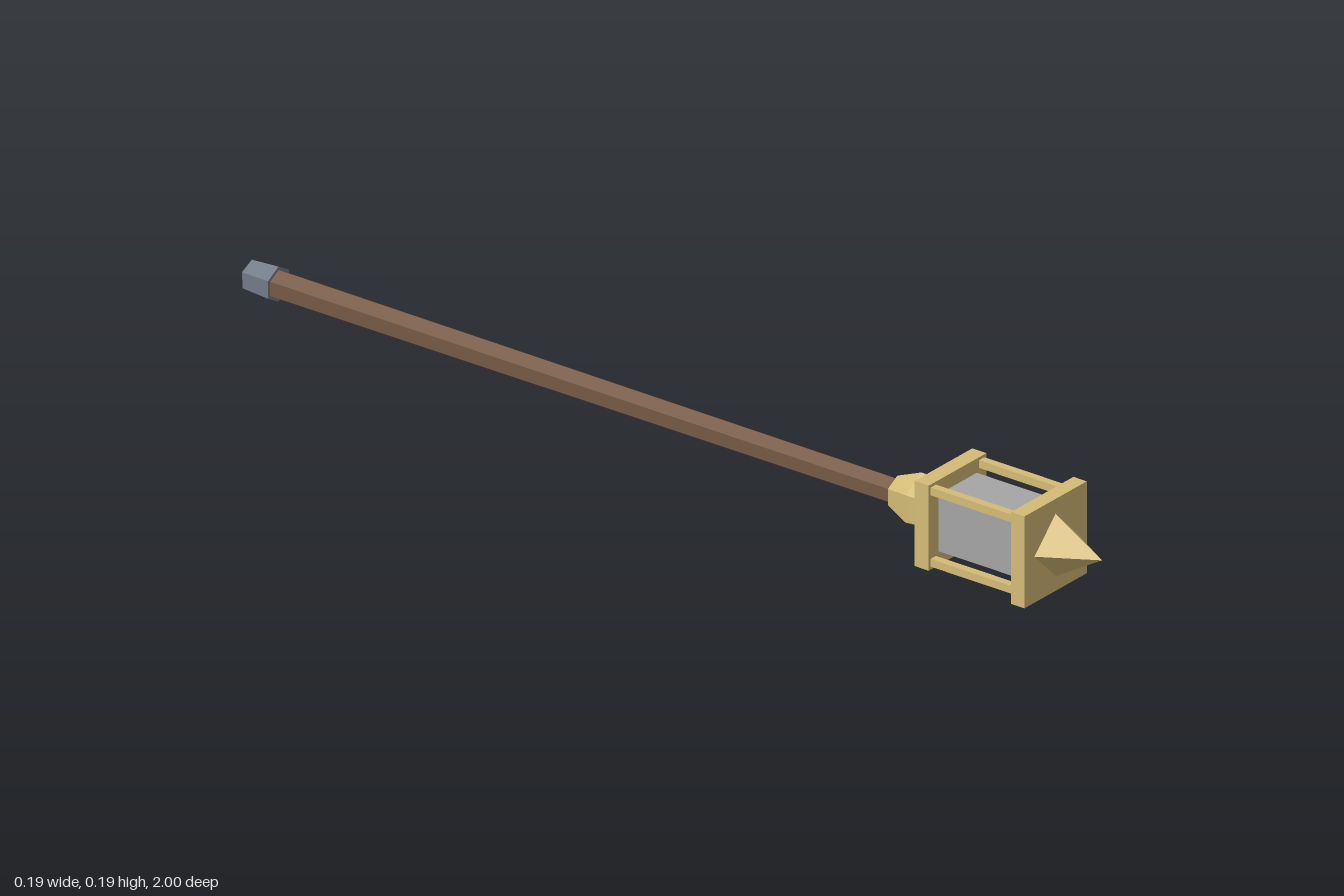
import * as THREE from 'three';

const material = (color) => new THREE.MeshStandardMaterial({ color, flatShading: true });

export function createModel() {
  const group = new THREE.Group();
  const gold = material(0xd4bb76);
  const wood = material(0x765a44);
  const steel = material(0x727a87);
  const glass = material(0xa5a5a5);
  const axisY = 0.095;

  const add = (name, geometry, mat, x, y, z) => {
    const mesh = new THREE.Mesh(geometry, mat);
    mesh.name = name;
    mesh.position.set(x, axisY + y, z);
    group.add(mesh);
  };
  // Square block between two z positions
  const block = (name, half, z0, z1, mat, x = 0, y = 0) =>
    add(name, new THREE.BoxGeometry(half * 2, half * 2, z1 - z0), mat, x, y, (z0 + z1) / 2);
  // Faceted turned part along z, from [radius, z] pairs
  const turned = (name, profile, sides, mat) => {
    const points = profile.map(([r, z]) => new THREE.Vector2(r, z));
    add(name, new THREE.LatheGeometry(points, sides).rotateX(Math.PI / 2), mat, 0, 0, 0);
  };

  // Long hexagonal handle and its pommel
  turned('shaft', [[0, -0.93], [0.029, -0.93], [0.026, 0.54], [0, 0.54]], 6, wood);
  turned('pommel', [[0, -1], [0.032, -0.977], [0.036, -0.915], [0, -0.915]], 6, steel);

  // Flared socket joining handle and head
  turned('collar', [[0, 0.524], [0.033, 0.524], [0.056, 0.58], [0.048, 0.632], [0, 0.632]], 6, gold);

  // Lantern-like head: two plates, a core and four corner rods
  block('backPlate', 0.087, 0.631, 0.664, gold);
  block('frontPlate', 0.094, 0.861, 0.892, gold);
  block('core', 0.058, 0.662, 0.852, glass);
  for (const sx of [-1, 1]) {
    for (const sy of [-1, 1]) {
      block('cornerRod', 0.008, 0.66, 0.865, gold, sx * 0.073, sy * 0.073);
    }
  }

  // Four-sided point
  turned('spike', [[0, 0.89], [0.065, 0.89], [0, 1]], 4, gold);
  return group;
}
